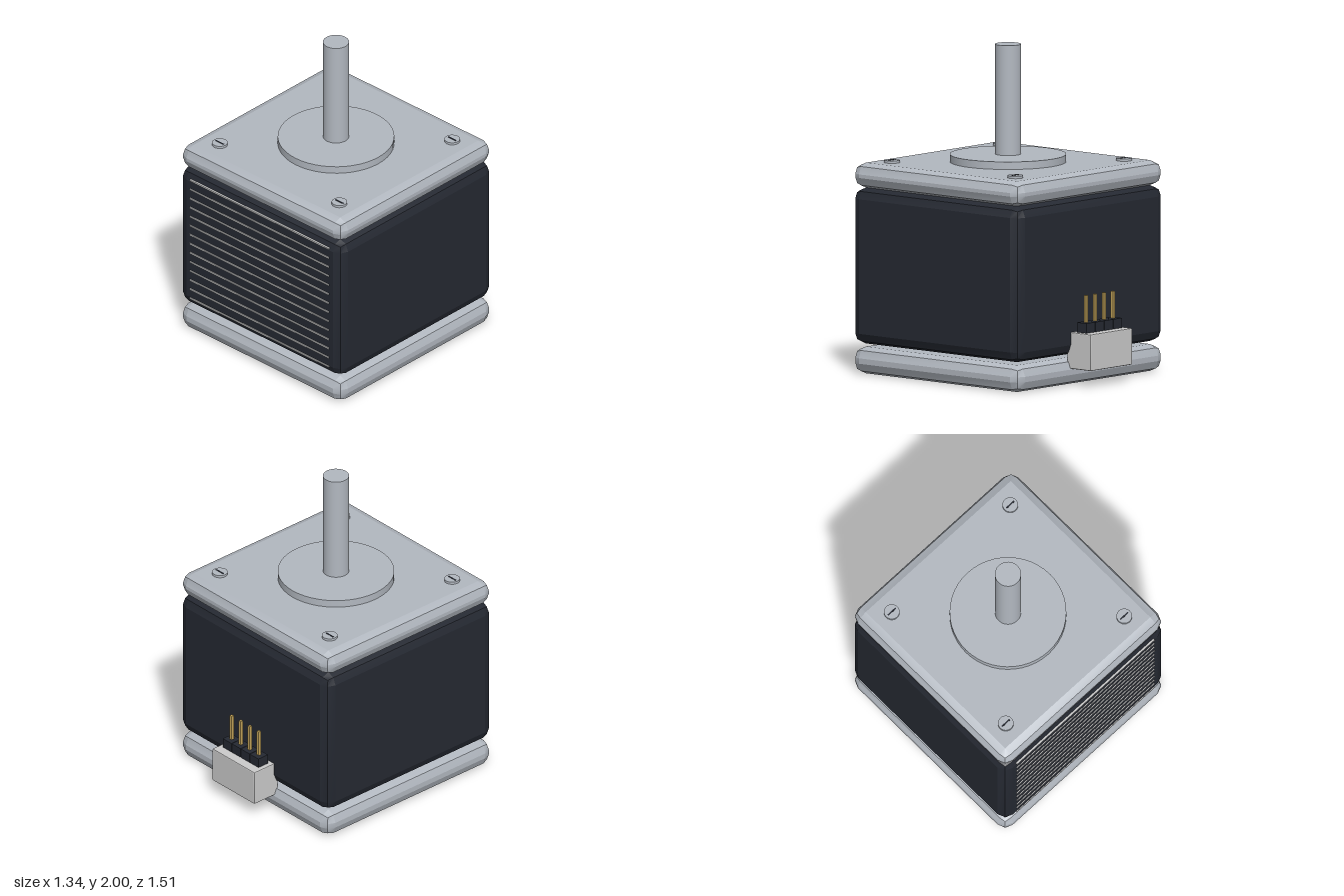
import * as THREE from 'three';
import { RoundedBoxGeometry } from 'three/addons/geometries/RoundedBoxGeometry.js';
import { toCreasedNormals } from 'three/addons/utils/BufferGeometryUtils.js';

const mat = (color) => new THREE.MeshStandardMaterial({ color });

export function createModel() {
  const root = new THREE.Group();
  const steel = mat(0xb2b8c0);
  const dark = mat(0x252932);
  const plastic = mat(0xd6d7da);
  const gold = mat(0xc4a55a);
  const stripe = mat(0xcccccc);
  const CZ = 0.077; // centre of the motor, offset forward of the connector
  const SIZE = 1.344;

  function add(name, geometry, material, x, y, z, parent = root) {
    const mesh = new THREE.Mesh(geometry, material);
    mesh.name = name;
    mesh.position.set(x, y, z);
    parent.add(mesh);
    return mesh;
  }

  // Square block with two-facet bevels, spanning y0 to y1
  function block(name, y0, y1, material) {
    const geo = toCreasedNormals(new RoundedBoxGeometry(SIZE, y1 - y0, SIZE, 1, 0.065), 0.3);
    return add(name, geo, material, 0, (y0 + y1) / 2, CZ);
  }

  // Upright cylinder spanning y0 to y1
  function disc(name, r, y0, y1, material, x, z, parent = root) {
    const geo = new THREE.CylinderGeometry(r, r, y1 - y0, 48);
    return add(name, geo, material, x, (y0 + y1) / 2, z, parent);
  }

  // Housing
  block('bottomPlate', 0, 0.163, steel);
  block('motorBody', 0.182, 1.132, dark);
  block('topPlate', 1.132, 1.284, steel);

  // Output shaft and its boss
  disc('boss', 0.352, 1.27, 1.33, steel, 0, CZ);
  disc('shaft', 0.079, 1.32, 2, steel, 0, CZ);

  // Slotted screws
  for (const sx of [-1, 1]) {
    for (const sz of [-1, 1]) {
      const screw = new THREE.Group();
      screw.name = 'screw';
      root.add(screw);
      const x = sx * 0.496, z = CZ + sz * 0.496;
      disc('screwHead', 0.047, 1.275, 1.299, steel, x, z, screw);
      add('screwSlot', new THREE.BoxGeometry(0.066, 0.006, 0.009), dark, x, 1.298, z, screw);
    }
  }

  // Lamination stripes on the front
  for (let i = 0; i < 14; i++) {
    add('laminationLine', new THREE.BoxGeometry(1.154, 0.01, 0.014), stripe, 0, 0.243 + i * 0.0642, 0.748);
  }

  // Rear connector with four pins
  const connector = new THREE.Group();
  connector.name = 'connector';
  root.add(connector);
  const shell = toCreasedNormals(new RoundedBoxGeometry(0.38, 0.222, 0.19, 1, 0.006), 0.3);
  add('connectorShell', shell, plastic, 0, 0.214, -0.66, connector);
  for (let i = 0; i < 4; i++) {
    const x = (i - 1.5) * 0.0815;
    add('pinBase', new THREE.BoxGeometry(0.078, 0.07, 0.076), dark, x, 0.35, -0.658, connector);
    add('pin', new THREE.BoxGeometry(0.018, 0.18, 0.018), gold, x, 0.46, -0.658, connector);
  }
  return root;
}
